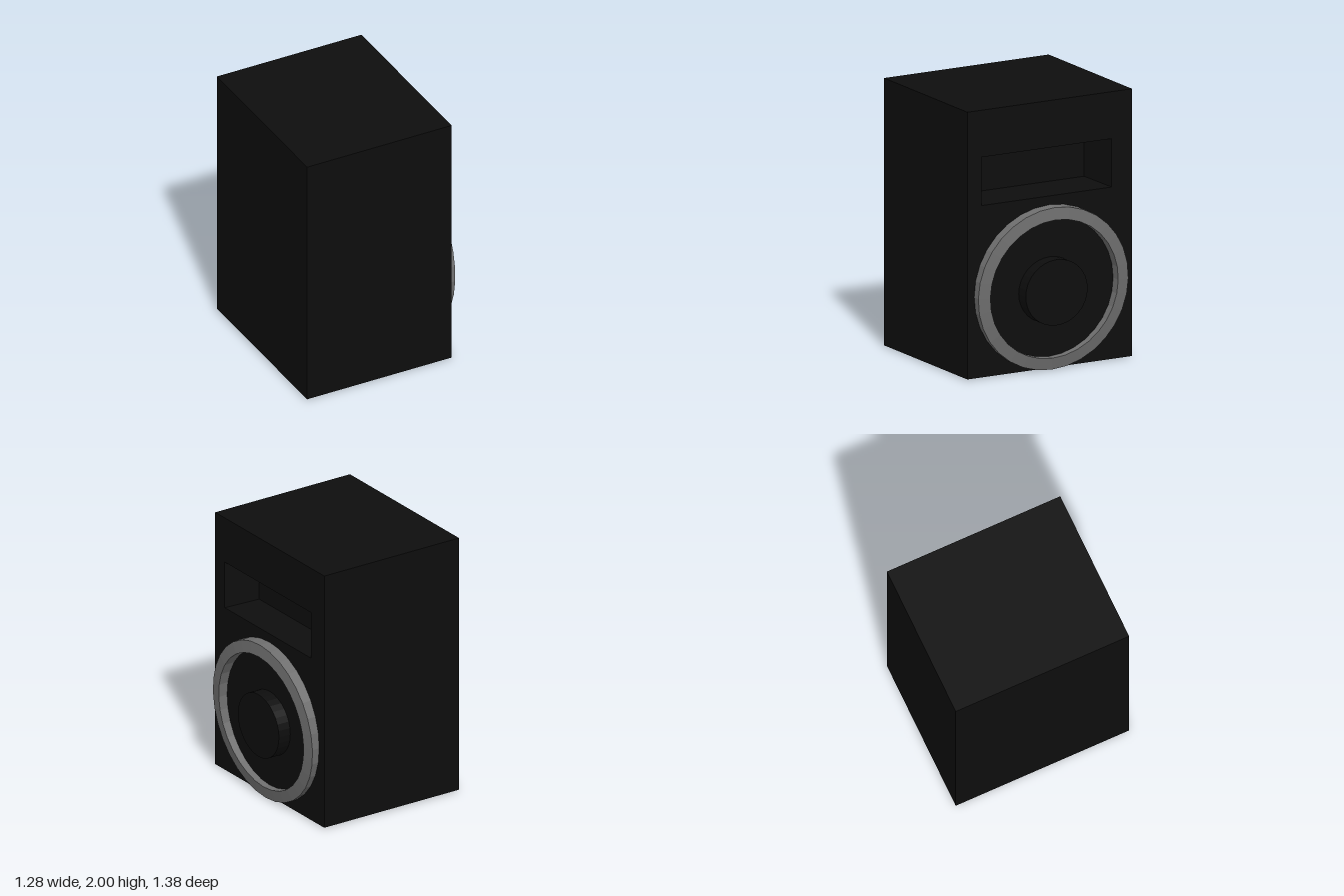
import * as THREE from 'three';

export function createModel() {
  const model = new THREE.Group();
  const black = new THREE.MeshStandardMaterial({ color: 0x0d0d0d, flatShading: true });
  black.name = 'cabinet black';
  const grey = new THREE.MeshStandardMaterial({ color: 0x6e6e6e, flatShading: true });
  grey.name = 'ring grey';

  const add = (name, geometry, material) => {
    const mesh = new THREE.Mesh(geometry, material);
    mesh.name = name;
    model.add(mesh);
    return mesh;
  };

  const xBack = -0.645, xFace = 0.54, xHorn = 0.3; // depth stations along x
  const y0 = 0.01, y1 = 2, halfZ = 0.69;

  // Rear of the cabinet
  add('cabinet', new THREE.BoxGeometry(xHorn - xBack, y1 - y0, halfZ * 2), black)
    .position.set((xBack + xHorn) / 2, (y0 + y1) / 2, 0);

  // Rectangle corners, counter-clockwise as seen from +x (u runs along -z)
  const rect = (u0, u1, v0, v1) => [[u0, v0], [u1, v0], [u1, v1], [u0, v1]]
    .map(([u, v]) => new THREE.Vector2(u, v));
  const mouth = rect(-0.57, 0.52, 1.29, 1.65);
  const throat = rect(-0.48, 0.43, 1.33, 1.61);

  // Baffle with the horn opening cut through
  const baffle = new THREE.Shape(rect(-halfZ, halfZ, y0, y1));
  baffle.holes.push(new THREE.Path([...mouth].reverse()));
  const baffleGeo = new THREE.ExtrudeGeometry(baffle, { depth: xFace - xHorn, bevelEnabled: false });
  baffleGeo.rotateY(Math.PI / 2).translate(xHorn, 0, 0);
  add('baffle', baffleGeo, black);

  // Flared horn walls from the mouth back to the throat
  const walls = [];
  for (let i = 0; i < 4; i++) {
    const j = (i + 1) % 4;
    const a = [xFace, mouth[i].y, -mouth[i].x], b = [xFace, mouth[j].y, -mouth[j].x];
    const c = [xHorn, throat[j].y, -throat[j].x], d = [xHorn, throat[i].y, -throat[i].x];
    walls.push(...a, ...b, ...c, ...a, ...c, ...d);
  }
  const horn = new THREE.BufferGeometry();
  horn.setAttribute('position', new THREE.Float32BufferAttribute(walls, 3));
  horn.computeVertexNormals();
  add('hornFlare', horn, black);

  // Woofer ring, tipped slightly downwards, with a sloping front lip
  const profile = [[0.609, -0.19], [0.609, 0], [0.519, 0.014], [0.519, -0.19], [0.609, -0.19]]
    .map(([r, h]) => new THREE.Vector2(r, h));
  const ring = add('wooferRing', new THREE.LatheGeometry(profile, 32), grey);
  ring.scale.z = 1.033;
  ring.rotation.z = -(Math.PI / 2 + 0.039);
  ring.position.set(0.599, 0.613, 0.004);

  // Centre cap
  const cap = add('wooferCap', new THREE.CylinderGeometry(0.245, 0.245, 0.14, 32), black);
  cap.scale.z = 1.06;
  cap.rotation.z = -Math.PI / 2;
  cap.position.set(0.57, 0.592, 0);

  return model;
}
